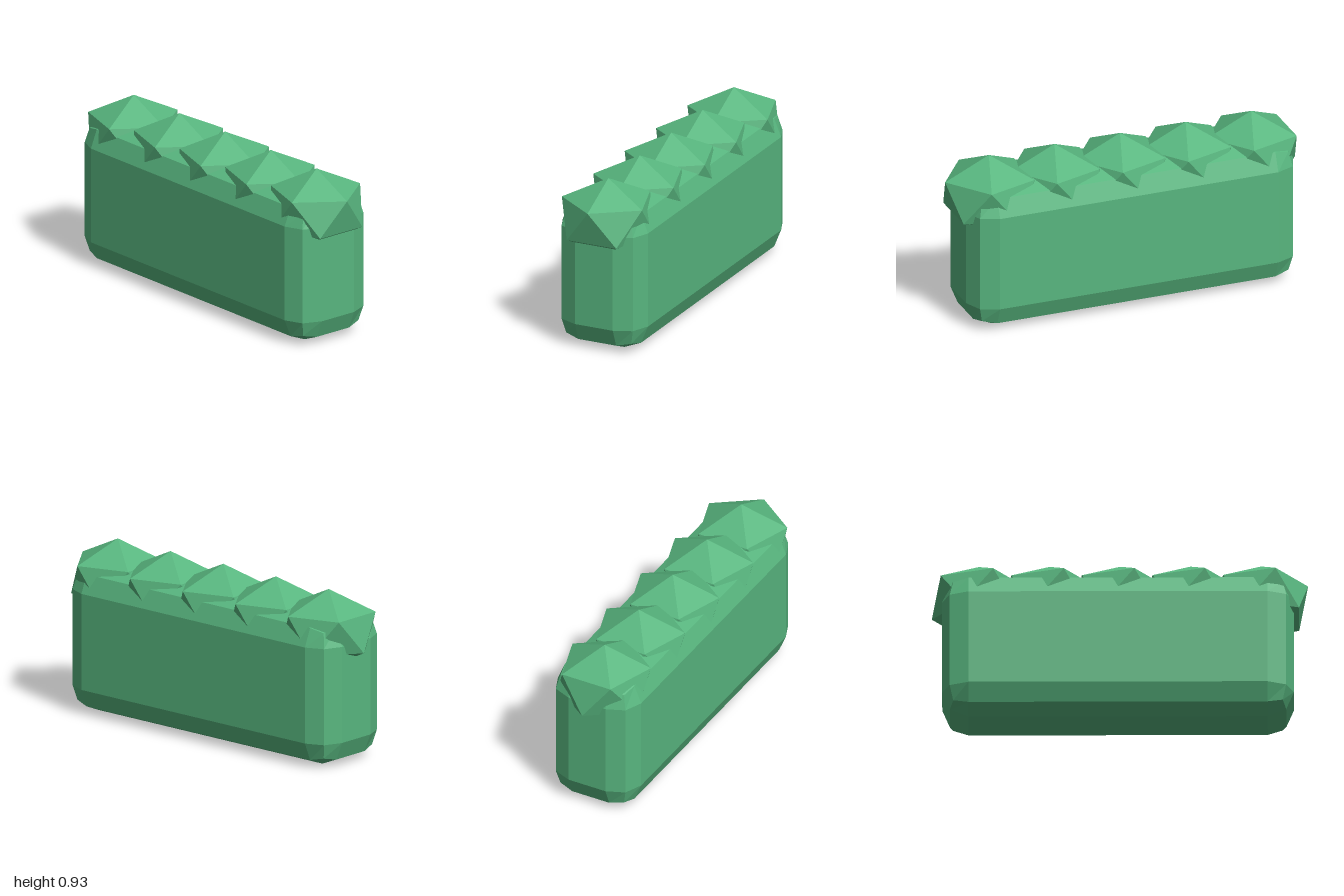
import * as THREE from 'three';
import { RoundedBoxGeometry } from 'three/addons/geometries/RoundedBoxGeometry.js';

export function createModel() {
  const group = new THREE.Group();
  group.name = 'hedge';
  const leaf = new THREE.MeshStandardMaterial({ color: 0x58b67f, flatShading: true });

  // Clipped hedge body with one-step chamfered edges
  const body = new THREE.Mesh(new RoundedBoxGeometry(1.87, 0.81, 0.505, 1, 0.14), leaf);
  body.name = 'hedgeBody';
  body.position.set(-0.01, 0.405, 0);
  group.add(body);

  // Leafy tufts: squashed icosahedra standing on a vertex, one ring corner towards +x
  const tuftGeometry = new THREE.IcosahedronGeometry(0.2795, 0);
  tuftGeometry.rotateX(-Math.atan((1 + Math.sqrt(5)) / 2));
  tuftGeometry.rotateY(Math.PI / 2);
  tuftGeometry.scale(1, 0.763, 1);
  tuftGeometry.computeVertexNormals();

  for (let i = 0; i < 5; i++) {
    const tuft = new THREE.Mesh(tuftGeometry, leaf);
    tuft.name = `leafTuft${i + 1}`;
    tuft.position.set((i - 2) * 0.375, 0.717, 0);
    group.add(tuft);
  }
  return group;
}
